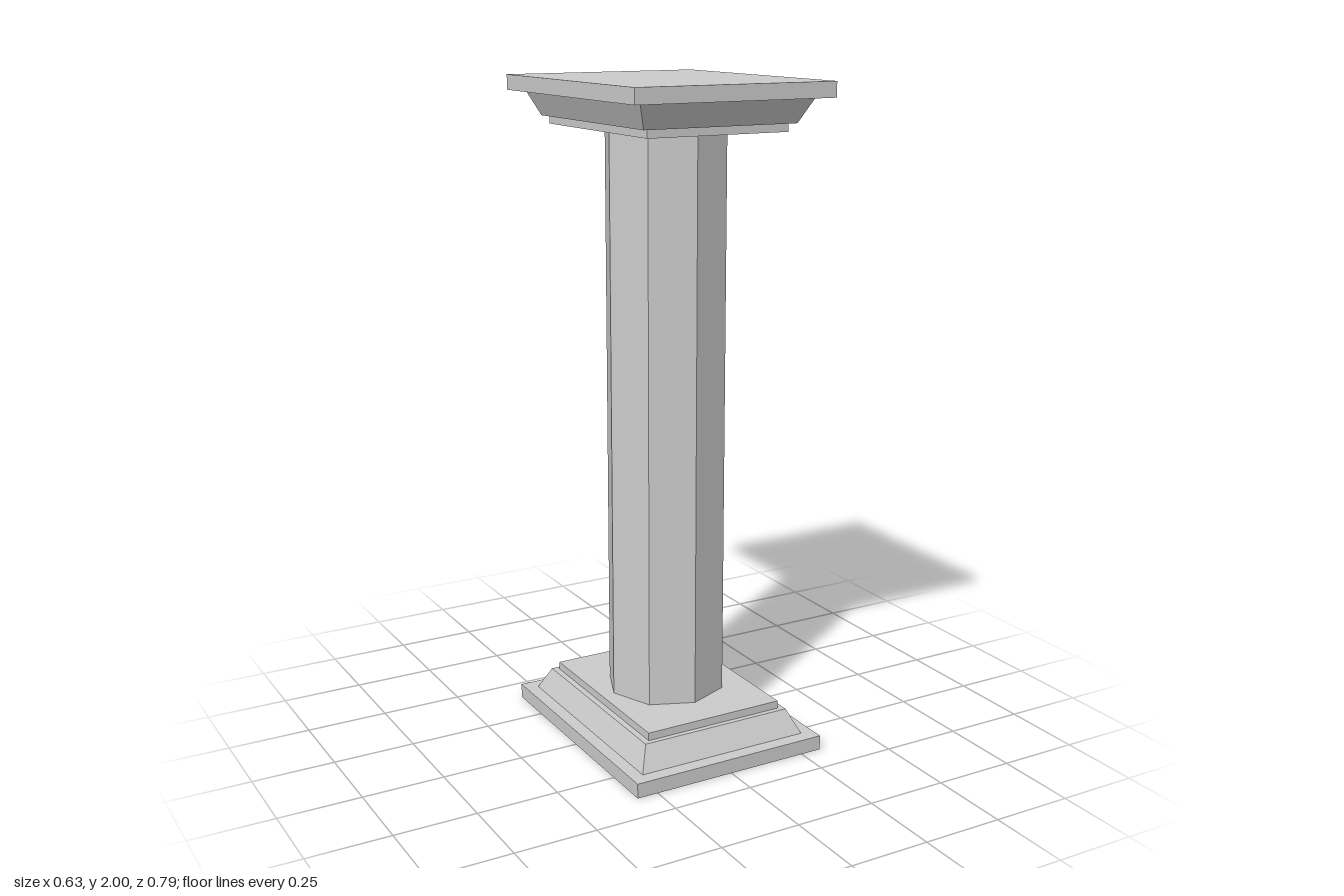
import * as THREE from 'three';

const HEIGHT = 2;
const material = new THREE.MeshStandardMaterial({ color: 0xcccccc, flatShading: true });

function addMesh(parent, name, geometry, y) {
  const mesh = new THREE.Mesh(geometry, material);
  mesh.name = name;
  mesh.position.y = y;
  parent.add(mesh);
}

// Rectangular block whose top may be smaller than its bottom (half sizes in x and z)
function taperedBlock(bottom, top, height) {
  const geometry = new THREE.BoxGeometry(2, height, 2);
  const p = geometry.attributes.position;
  for (let i = 0; i < p.count; i++) {
    const half = p.getY(i) > 0 ? top : bottom;
    p.setXYZ(i, p.getX(i) * half[0], p.getY(i), p.getZ(i) * half[1]);
  }
  geometry.computeVertexNormals();
  return geometry;
}

// Stepped moulding, from the outer slab inwards
const layers = [
  { name: 'Slab', y0: 0, y1: 0.045, bottom: [0.316, 0.397], top: [0.316, 0.397] },
  { name: 'Bevel', y0: 0.045, y1: 0.117, bottom: [0.276, 0.354], top: [0.244, 0.314] },
  { name: 'Collar', y0: 0.117, y1: 0.141, bottom: [0.225, 0.298], top: [0.225, 0.298] },
];

function moulding(name) {
  const group = new THREE.Group();
  group.name = name;
  for (const { name: part, y0, y1, bottom, top } of layers) {
    addMesh(group, name + part, taperedBlock(bottom, top, y1 - y0), (y0 + y1) / 2);
  }
  return group;
}

export function createModel() {
  const model = new THREE.Group();
  model.name = 'pedestalColumn';

  // Base, and the same moulding turned upside down as the capital
  const base = moulding('base');
  const capital = moulding('capital');
  capital.rotation.x = Math.PI;
  capital.position.y = HEIGHT;
  model.add(base, capital);

  // Eight-sided shaft with corners on the axes
  const shaftHeight = HEIGHT - 2 * 0.141;
  addMesh(model, 'shaft', new THREE.CylinderGeometry(0.183, 0.183, shaftHeight, 8), HEIGHT / 2);

  return model;
}
